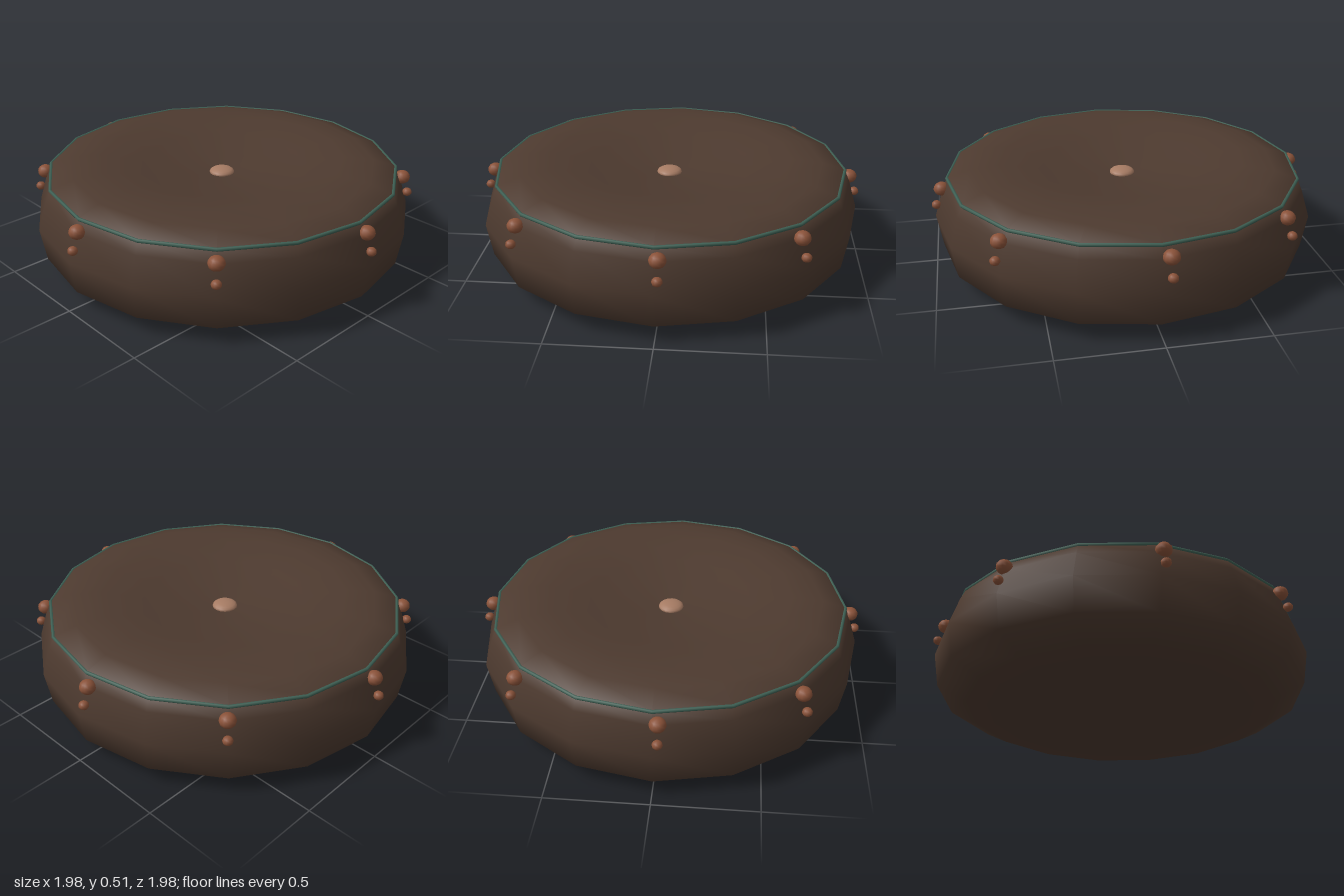
import * as THREE from 'three';

const mat = (color) => new THREE.MeshStandardMaterial({ color });

export function createModel() {
  const model = new THREE.Group();
  const add = (name, geometry, material, x = 0, y = 0, z = 0) => {
    const mesh = new THREE.Mesh(geometry, material);
    mesh.name = name;
    mesh.position.set(x, y, z);
    model.add(mesh);
    return mesh;
  };

  // Cushion body: sixteen-sided, rounded edge, shallow dish on top
  const profile = [
    [0, 0], [0.4, 0], [0.66, 0.002], [0.8, 0.012], [0.95, 0.09], [0.978, 0.26],
    [0.932, 0.405], [0.905, 0.465], [0.79, 0.5], [0.63, 0.515],
    [0.42, 0.475], [0.2, 0.435], [0, 0.42],
  ].map(([r, y]) => new THREE.Vector2(r, y));
  add('cushionBody', new THREE.LatheGeometry(profile, 16), mat(0x4d3a2f));

  // Piping around the upper edge
  const piping = new THREE.TorusGeometry(0.905, 0.009, 6, 16).rotateX(Math.PI / 2);
  add('piping', piping, mat(0x3d5f53), 0, 0.462, 0);

  // Flattened button in the middle of the dish
  const button = add('centreButton', new THREE.SphereGeometry(0.065, 16, 10), mat(0xa67b63), -0.005, 0.427, 0);
  button.scale.y = 0.4;

  // Pairs of beads around the side, slightly uneven in spacing
  const beadMaterial = mat(0x8a5239);
  const large = new THREE.SphereGeometry(0.04, 12, 8);
  const small = new THREE.SphereGeometry(0.025, 10, 8);
  const drift = [0.02, -0.025, 0.04, -0.004, 0.028, 0, 0.025, 0];
  drift.forEach((d, i) => {
    const a = (i * Math.PI) / 4 + d;
    const pull = i % 2 ? 0.005 : 0; 
    const bead = (name, geometry, r, y) => {
      const mesh = add(name, geometry, beadMaterial, Math.sin(a) * r, y, Math.cos(a) * r);
      mesh.rotation.y = a;
      mesh.scale.y = 0.88;
    };
    bead('largeBead', large, 0.935 + pull, 0.416);
    bead('smallBead', small, 0.968 + pull, 0.33);
  });

  // The body sits a touch off the centre of the beads
  model.children.forEach((part) => {
    part.position.x -= 0.003;
    part.position.z += 0.007;
  });
  return model;
}
